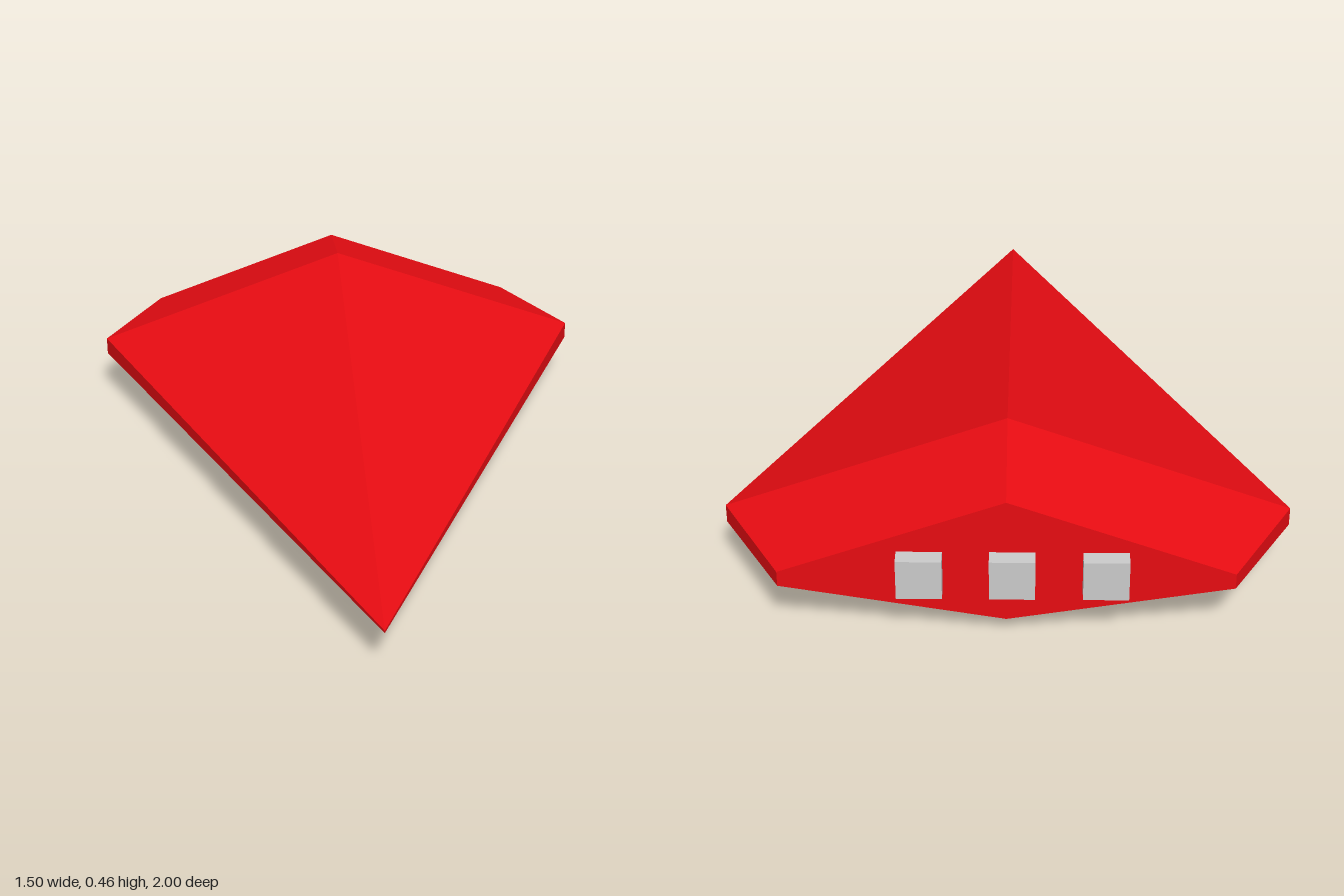
import * as THREE from 'three';

// Hexagonal cross-section: ridge, right edge, keel, left edge
function section(z, halfWidth, ridge, edgeTop, edgeBottom, keel) {
  return [
    [0, ridge], [-halfWidth, edgeTop], [-halfWidth, edgeBottom],
    [0, keel], [halfWidth, edgeBottom], [halfWidth, edgeTop],
  ].map(([x, y]) => new THREE.Vector3(x, y, z));
}

// Flat-sided loft from front to back, closed at the stern
function loft(sections) {
  const points = [];
  const tri = (a, b, c) => {
    if (!a.equals(b) && !b.equals(c) && !c.equals(a)) points.push(a, b, c);
  };
  for (let s = 0; s < sections.length - 1; s++) {
    const a = sections[s], b = sections[s + 1];
    for (let i = 0; i < a.length; i++) {
      const j = (i + 1) % a.length;
      tri(a[i], b[i], b[j]);
      tri(a[i], b[j], a[j]);
    }
  }
  const end = sections[sections.length - 1];
  for (let i = 1; i < end.length - 1; i++) tri(end[0], end[i + 1], end[i]);
  const geometry = new THREE.BufferGeometry().setFromPoints(points);
  geometry.computeVertexNormals();
  return geometry;
}

export function createModel() {
  const model = new THREE.Group();
  const red = new THREE.MeshStandardMaterial({ color: 0xe80c12, flatShading: true });
  const grey = new THREE.MeshStandardMaterial({ color: 0xcccccc, flatShading: true });

  // Wedge-shaped hull: sharp nose, widest section, tapered stern
  const hull = new THREE.Mesh(loft([
    section(0.995, 0, 0.145, 0.145, 0.138, 0.138),
    section(-0.655, 0.75, 0.465, 0.19, 0.138, 0.003),
    section(-0.955, 0.58, 0.403, 0.19, 0.147, 0.047),
  ]), red);
  hull.name = 'hull';
  model.add(hull);

  // Three square engine blocks on the stern
  const engines = new THREE.Group();
  engines.name = 'engines';
  const block = new THREE.BoxGeometry(0.116, 0.113, 0.06);
  [-0.251, -0.015, 0.219].forEach((x, i) => {
    const engine = new THREE.Mesh(block, grey);
    engine.name = `engine${i + 1}`;
    engine.position.set(x, 0.198, -0.97);
    engines.add(engine);
  });
  model.add(engines);

  return model;
}
